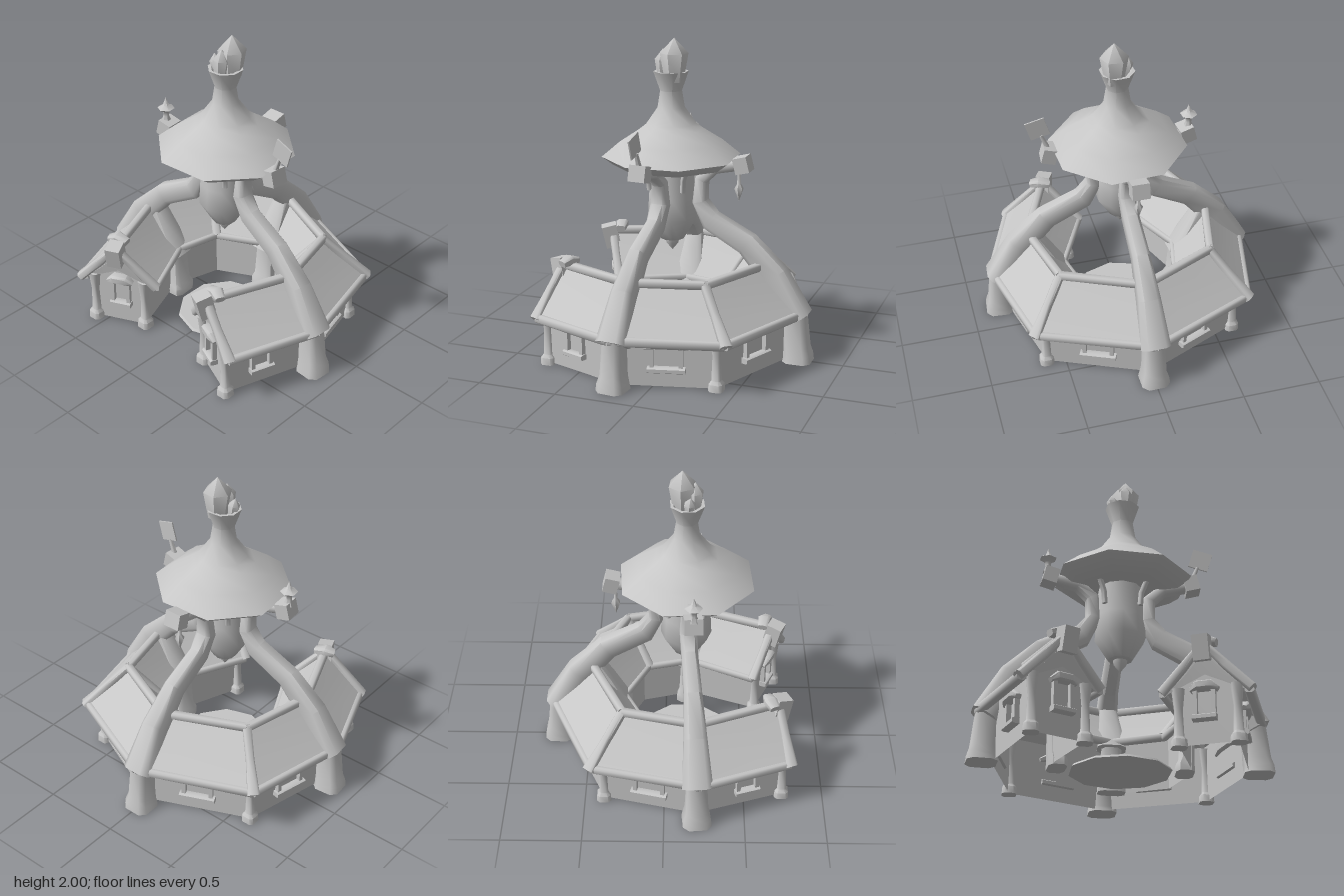
import * as THREE from 'three';
import { toCreasedNormals } from 'three/addons/utils/BufferGeometryUtils.js';

const V = (x, y, z) => new THREE.Vector3(x, y, z);
const CZ = 0.13; // tower axis in z

export function createModel() {
  const model = new THREE.Group();
  const clay = new THREE.MeshStandardMaterial({ color: 0xc6c6c6, side: THREE.DoubleSide });
  clay.name = 'clay grey';

  const add = (name, geo, parent = model, pos = [0, 0, 0], rot = [0, 0, 0]) => {
    const m = new THREE.Mesh(geo, clay);
    m.name = name;
    m.position.set(...pos);
    m.rotation.set(...rot);
    parent.add(m);
  };
  const addGroup = (name, x, y, z, angle) => {
    const g = new THREE.Group();
    g.name = name;
    g.position.set(x, y, z);
    g.rotation.y = angle;
    model.add(g);
    return g;
  };

  // Skin closed loops of equal count; faces are turned outward by signed volume
  const loft = (loops, crease) => {
    const n = loops[0].length, tris = [];
    for (let i = 0; i < loops.length - 1; i++)
      for (let j = 0; j < n; j++) {
        const k = (j + 1) % n, a = loops[i], b = loops[i + 1];
        tris.push([a[j], b[j], b[k]], [a[j], b[k], a[k]]);
      }
    const cap = (l, flip) => {
      const c = l.reduce((s, p) => s.add(p), V(0, 0, 0)).divideScalar(n);
      l.forEach((p, j) => tris.push(flip ? [c, l[(j + 1) % n], p] : [c, p, l[(j + 1) % n]]));
    };
    cap(loops[0], false);
    cap(loops[loops.length - 1], true);
    const vol = tris.reduce((s, [a, b, c]) => s + a.dot(b.clone().cross(c)), 0);
    const pts = tris.flatMap(([a, b, c]) => (vol < 0 ? [a, c, b] : [a, b, c]));
    return toCreasedNormals(new THREE.BufferGeometry().setFromPoints(pts), crease);
  };

  // Bevelled beam along points [x, y, z, width, depth]
  const shape = [[1, 0.6], [0.6, 1], [-0.6, 1], [-1, 0.6], [-1, -0.6], [-0.6, -1], [0.6, -1], [1, -0.6]];
  const beam = (path, side) => {
    const p = path.map(a => V(a[0], a[1], a[2]));
    return loft(p.map((c, i) => {
      const t = p[Math.min(i + 1, p.length - 1)].clone().sub(p[Math.max(i - 1, 0)]).normalize();
      const s = side || t.clone().cross(V(0, 1, 0)).normalize();
      const u = s.clone().cross(t).normalize();
      const [w, d] = [path[i][3] / 2, path[i][4] / 2];
      return shape.map(([a, b]) => c.clone().addScaledVector(s, a * w).addScaledVector(u, b * d));
    }), 0.9);
  };

  // Plan of the ring of houses, [x, z] from back centre to front end
  const ring = half => [...half.slice(1).reverse().map(([x, z]) => [-x, z]), ...half];
  const eaveOut = ring([[0, -0.74], [0.69, -0.45], [0.845, 0.22], [0.635, 0.78]]);
  const ridge = ring([[0, -0.48], [0.49, -0.26], [0.6, 0.2], [0.395, 0.71]]);
  const eaveIn = ring([[0, -0.27], [0.31, -0.12], [0.38, 0.17], [0.18, 0.58]]);
  const wallOut = ring([[0, -0.65], [0.62, -0.38], [0.76, 0.2], [0.575, 0.74]]);
  const wallIn = ring([[0, -0.32], [0.34, -0.15], [0.43, 0.17], [0.265, 0.6]]);
  const at = (p, y) => V(p[0], y, p[1]);
  const mid = (a, b, t, y) => V(a[0] + (b[0] - a[0]) * t, y, a[1] + (b[1] - a[1]) * t);

  // Window: sill, two bars and a rounded hood, facing local +z
  const windowAt = (x, y, z, angle, w, h) => {
    const g = addGroup('window', x, y, z, angle);
    add('sill', beam([[-w / 2, -h / 2, 0.015, 0.06, 0.035], [w / 2, -h / 2, 0.015, 0.06, 0.035]]), g);
    add('hood', beam([[-w * 0.58, h / 2 - 0.015, 0.01, 0.05, 0.025], [-w * 0.3, h / 2 + 0.01, 0.015, 0.08, 0.055],
      [w * 0.3, h / 2 + 0.01, 0.015, 0.08, 0.055], [w * 0.58, h / 2 - 0.015, 0.01, 0.05, 0.025]]), g);
    for (const s of [-1, 1])
      add('windowBar', new THREE.BoxGeometry(0.025, h, 0.03), g, [s * w * 0.38, 0, 0.015]);
  };

  // Roof slab and hollow walls, one piece per side
  const roofLoop = i => {
    const [o, r, n] = [eaveOut[i], ridge[i], eaveIn[i]];
    return [at(o, 0.34), mid(o, r, 0.5, 0.455), at(r, 0.585), mid(n, r, 0.5, 0.46), at(n, 0.35),
      at(n, 0.31), mid(n, r, 0.5, 0.41), at(r, 0.54), mid(o, r, 0.5, 0.41), at(o, 0.3)];
  };
  const wall = pts => {
    const g = new THREE.BufferGeometry().setFromPoints(pts);
    g.computeVertexNormals();
    return g;
  };
  const panel = (a, b) => [at(a, 0.01), at(b, 0.37), at(b, 0.01), at(a, 0.01), at(a, 0.37), at(b, 0.37)];
  for (let i = 0; i < 6; i++) {
    const [a, b] = [wallOut[i], wallOut[i + 1]];
    add('roof', loft([roofLoop(i), roofLoop(i + 1)], 0.5));
    add('outerWall', wall(panel(a, b)));
    add('innerWall', wall(panel(wallIn[i + 1], wallIn[i])));
    const rail = (name, line, y, w) =>
      add(name, beam([i, i + 1].map(k => [line[k][0], y, line[k][1], w, w])));
    rail('outerEaveRail', eaveOut, 0.315, 0.055);
    rail('innerEaveRail', eaveIn, 0.33, 0.045);
    rail('ridgeBeam', ridge, 0.6, 0.05);
    const m = mid(a, b, i === 0 ? 0.42 : i === 5 ? 0.58 : 0.5, 0.2);
    windowAt(m.x, 0.2, m.z, Math.atan2(b[1] - a[1], a[0] - b[0]), i % 5 ? 0.23 : 0.16, 0.155);
  }

  // Corner post with a flared foot
  const post = ([x, z]) => add('cornerPost', beam([[x, 0, z, 0.09, 0.09], [x, 0.045, z, 0.085, 0.085],
    [x, 0.065, z, 0.055, 0.055], [x, 0.22, z, 0.045, 0.045], [x, 0.35, z, 0.07, 0.07]], V(1, 0, 0)));

  // Beam following both slopes of the roof, from outer to inner eave
  const hip = (name, i) => {
    const [o, r, n] = [eaveOut[i], ridge[i], eaveIn[i]];
    const pts = [mid(o, r, -0.08, 0.31), mid(o, r, 0.5, 0.46), at(r, 0.6), mid(n, r, 0.5, 0.465), mid(n, r, -0.03, 0.33)];
    const side = V(o[1] - n[1], 0, n[0] - o[0]).normalize();
    const widths = [0.075, 0.05, 0.055, 0.05, 0.06];
    add(name, beam(pts.map((p, k) => [p.x, p.y, p.z, widths[k], 0.055]), side));
  };
  for (const i of [0, 6]) {
    hip('gableBeam', i);
    post(wallOut[i]);
    post(wallIn[i]);
  }
  for (const i of [2, 4]) {
    hip('hipBeam', i);
    post(wallOut[i]);
  }

  for (const s of [-1, 1]) {
    // Gable wall, its window and the carved ridge end
    const o = [s * 0.575, 0.74], n = [s * 0.265, 0.6], r = [s * 0.4, 0.66];
    add('gableWall', wall([at(o, 0.01), at(n, 0.01), at(n, 0.38),
      at(o, 0.01), at(n, 0.38), at(r, 0.55), at(o, 0.01), at(r, 0.55), at(o, 0.37)]));
    windowAt(s * 0.405, 0.25, 0.668, -s * 0.42, 0.14, 0.18);
    add('ridgeEnd', new THREE.BoxGeometry(0.095, 0.15, 0.1), model, [s * 0.385, 0.565, 0.72], [0.25, -s * 0.42, s * 0.12]);
    add('ridgeCrossbar', beam([[s * 0.36, 0.625, 0.64, 0.06, 0.04], [s * 0.43, 0.64, 0.655, 0.08, 0.06],
      [s * 0.48, 0.625, 0.68, 0.06, 0.04]]));
  }

  // Wide inner braces with their posts
  for (const [angle, inner] of [[Math.PI / 2, 0.39], [-0.08, 0.38], [Math.PI + 0.08, 0.38]]) {
    const g = addGroup('innerBrace', 0, 0, CZ, angle);
    add('braceArm', beam([[0.6, 0.65, 0, 0.1, 0.08], [0.5, 0.49, 0, 0.13, 0.08], [inner, 0.28, 0, 0.18, 0.09]], V(0, 0, 1)), g);
    add('bracePost', beam([[inner, 0, 0, 0.17, 0.11], [inner, 0.04, 0, 0.17, 0.11], [inner + 0.01, 0.08, 0, 0.14, 0.09],
      [inner + 0.02, 0.32, 0, 0.12, 0.08]], V(0, 0, 1)), g);
  }

  // Three great arms rising from the ground to the tower
  const armPath = [[0.815, 0.28, 0.19, 0.17], [0.66, 0.54, 0.14, 0.17], [0.48, 0.73, 0.11, 0.14], [0.24, 0.86, 0.1, 0.13],
    [0.17, 0.98, 0.11, 0.09], [0.18, 1.12, 0.09, 0.08], [0.27, 1.2, 0.08, 0.07], [0.44, 1.23, 0.07, 0.06]];
  const arms = [['backArm', Math.PI / 2, 0.02], ['leftArm', -0.09, 0], ['rightArm', Math.PI + 0.09, 0]].map(([name, angle, back]) => {
    const g = addGroup(name, 0, 0, CZ - back, angle);
    add('arm', beam(armPath.map(([x, y, w, d]) => [x, y, 0, w, d]), V(0, 0, 1)), g);
    add('armFoot', beam([[0.82, 0, 0, 0.18, 0.18], [0.82, 0.04, 0, 0.17, 0.17], [0.81, 0.09, 0, 0.14, 0.16],
      [0.795, 0.32, 0, 0.12, 0.14]], V(0, 0, 1)), g);
    add('armEnd', new THREE.BoxGeometry(0.09, 0.1, 0.11), g, [0.445, 1.235, 0], [0, 0, 0.25]);
    return g;
  });

  // Spun profile with creased edges
  const lathe = (pts, n) => toCreasedNormals(
    new THREE.LatheGeometry(pts.map(([r, y]) => new THREE.Vector2(r, y)), n).toNonIndexed(), 0.9);

  // Ornaments on the arm ends: hanging lantern, sign and finial
  add('hangingLantern', lathe([[0, 1.0], [0.012, 1.03], [0.03, 1.08], [0.012, 1.11], [0.01, 1.2]], 6), arms[0], [0.42, 0, 0]);
  add('signPole', beam([[0.45, 1.27, 0, 0.03, 0.03], [0.49, 1.37, 0, 0.02, 0.02]], V(0, 0, 1)), arms[1]);
  add('signPlate', new THREE.BoxGeometry(0.125, 0.125, 0.009), arms[1], [0.51, 1.42, 0], [0, 0, -0.3]);
  add('finial', lathe([[0.035, 1.27], [0.018, 1.31], [0.02, 1.34], [0.055, 1.365], [0.02, 1.385], [0, 1.44]], 6), arms[2], [0.46, 0, 0]);

  // Tower body with small braces under the hat
  add('towerBody', lathe([[0, 0.64], [0.04, 0.69], [0.045, 0.715], [0.075, 0.72], [0.16, 0.86], [0.152, 1.0], [0.135, 1.24]], 10),
    model, [0, 0, CZ]);
  for (let k = 0; k < 4; k++)
    add('hatStrut', beam([[0.155, 1.05, 0, 0.03, 0.03], [0.165, 1.13, 0, 0.03, 0.03], [0.22, 1.23, 0, 0.03, 0.03]], V(0, 0, 1)),
      addGroup('hatBrace', 0, 0, CZ, Math.PI / 4 + (k * Math.PI) / 2));

  // Eight-sided hat roof with chimney neck
  add('hatRoof', lathe([[0.12, 1.2], [0.26, 1.19], [0.36, 1.205], [0.435, 1.26], [0.32, 1.355], [0.2, 1.43], [0.155, 1.465],
    [0.085, 1.565], [0.068, 1.67], [0.11, 1.79], [0.09, 1.79], [0.05, 1.74], [0, 1.74]], 8), model, [0.015, 0, CZ], [0, -0.33, 0]);

  // Crystals in the neck
  const crystal = (x, z, base, top, r, tilt) => {
    const h = top - base;
    add('crystal', lathe([[0, 0], [r * 0.65, 0], [r, h * 0.65], [0, h]], 6), model, [x, base, z], [0, 0.4, tilt]);
  };
  crystal(0.04, 0.1, 1.73, 2.0, 0.088, 0);
  crystal(0.02, 0.18, 1.74, 1.93, 0.052, -0.05);
  crystal(-0.04, 0.14, 1.74, 1.87, 0.038, 0.15);

  // Courtyard paving
  add('courtyard', new THREE.CylinderGeometry(0.3, 0.31, 0.015, 10), model, [0, 0.0075, CZ]);
  return model;
}
